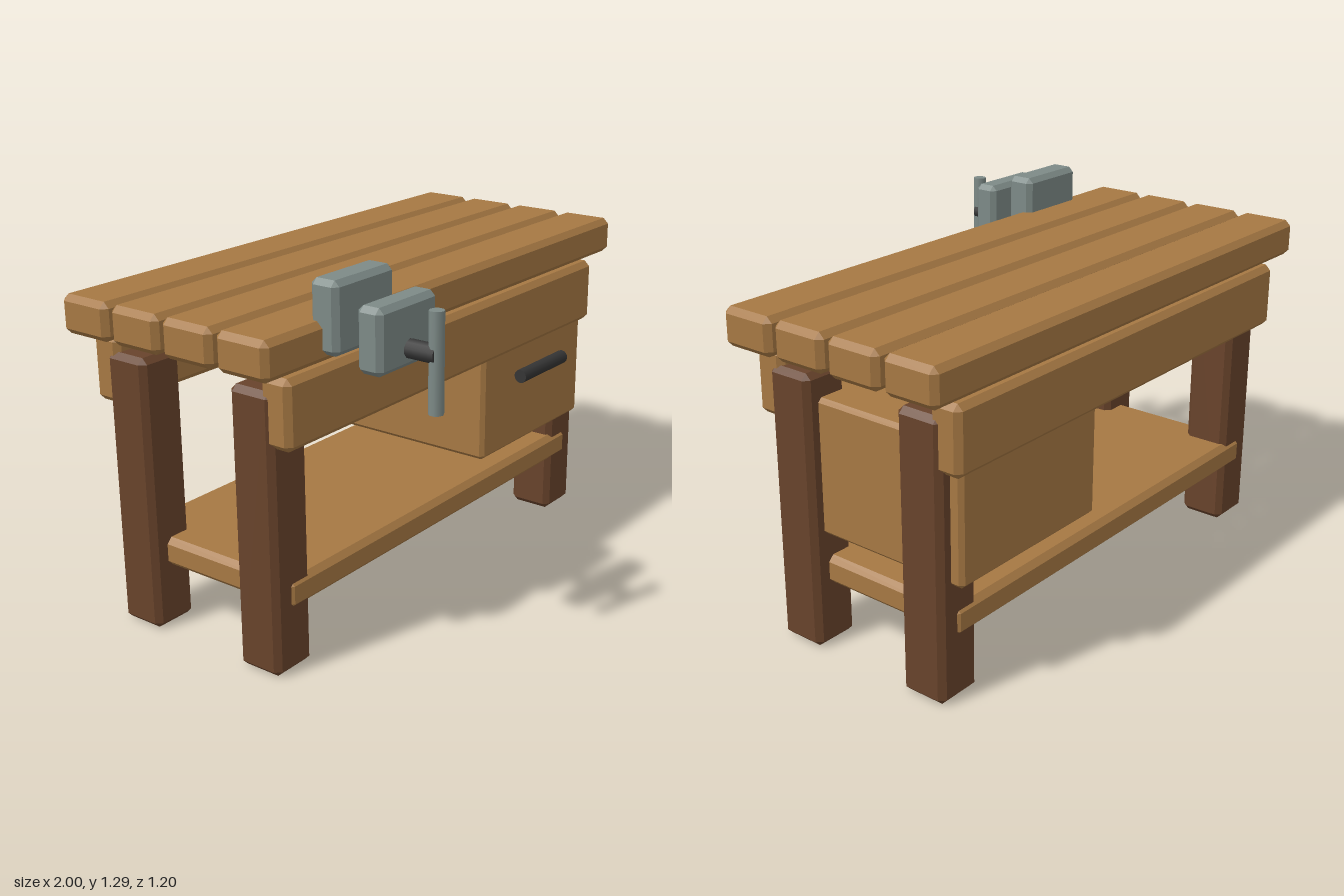
import * as THREE from 'three';
import { ConvexGeometry } from 'three/addons/geometries/ConvexGeometry.js';

const material = (name, color, flatShading = false) => {
  const m = new THREE.MeshStandardMaterial({ color });
  m.name = name;
  m.flatShading = flatShading;
  return m;
};

// Box with every edge chamfered by c, centred on the origin
function chamferBox(w, h, d, c) {
  const half = [w / 2, h / 2, d / 2];
  const points = [];
  for (const sx of [-1, 1]) for (const sy of [-1, 1]) for (const sz of [-1, 1]) {
    const signs = [sx, sy, sz];
    for (let axis = 0; axis < 3; axis++) {
      points.push(new THREE.Vector3(
        ...signs.map((s, i) => s * (half[i] - (i === axis ? 0 : c)))));
    }
  }
  return new ConvexGeometry(points);
}

export function createModel() {
  const wood = material('light wood', 0xa67843);
  const darkWood = material('dark wood', 0x68432b);
  const steel = material('grey steel', 0x7d8a87);
  const iron = material('dark iron', 0x343434);

  const bench = new THREE.Group();
  bench.name = 'workbench';

  // Block given by its lower and upper limits on each axis
  const block = (name, mat, [x0, x1], [y0, y1], [z0, z1], c = 0.02, parent = bench) => {
    const mesh = new THREE.Mesh(chamferBox(x1 - x0, y1 - y0, z1 - z0, c), mat);
    mesh.position.set((x0 + x1) / 2, (y0 + y1) / 2, (z0 + z1) / 2);
    mesh.name = name;
    parent.add(mesh);
  };

  // Rod along one axis
  const rod = (name, mat, axis, radius, length, sides, position, parent = bench) => {
    const geometry = new THREE.CylinderGeometry(radius, radius, length, sides);
    if (axis === 'x') geometry.rotateZ(Math.PI / 2);
    if (axis === 'z') geometry.rotateX(Math.PI / 2);
    const mesh = new THREE.Mesh(geometry, mat);
    mesh.position.set(...position);
    mesh.name = name;
    parent.add(mesh);
  };

  // Worktop of four spaced planks
  for (let i = 0; i < 4; i++) {
    const z = 0.165 - i * 0.22;
    block('topPlank', wood, [-1, 1], [1.03, 1.16], [z - 0.101, z + 0.101]);
  }

  // Front and back aprons
  block('frontApron', wood, [-0.893, 0.89], [0.78, 1.012], [0.137, 0.253]);
  block('backApron', wood, [-0.893, 0.89], [0.78, 1.012], [-0.584, -0.468]);

  // Four legs
  for (const x of [-0.815, 0.815]) {
    for (const z of [0.102, -0.432]) {
      block('leg', darkWood, [x - 0.085, x + 0.085], [0, 0.96], [z - 0.085, z + 0.085]);
    }
  }

  // Lower shelf
  block('shelf', wood, [-0.84, 0.84], [0.218, 0.32], [-0.525, 0.195]);

  // Drawer box with its pull
  block('drawer', wood, [0.18, 0.853], [0.404, 0.874], [-0.56, 0.232], 0.014);
  rod('drawerHandle', iron, 'x', 0.025, 0.295, 12, [0.527, 0.68, 0.26]);

  // Vise: two jaws, a screw and a turning bar
  const vise = new THREE.Group();
  vise.name = 'vise';
  bench.add(vise);
  block('fixedJaw', steel, [-0.746, -0.458], [1.055, 1.288], [0.215, 0.319], 0.018, vise);
  block('movingJaw', steel, [-0.746, -0.458], [1.024, 1.233], [0.389, 0.481], 0.018, vise);
  rod('viseScrew', iron, 'z', 0.031, 0.354, 10, [-0.602, 1.084, 0.407], vise);
  rod('viseBar', steel, 'y', 0.024, 0.32, 10, [-0.602, 1.058, 0.577], vise);

  return bench;
}
